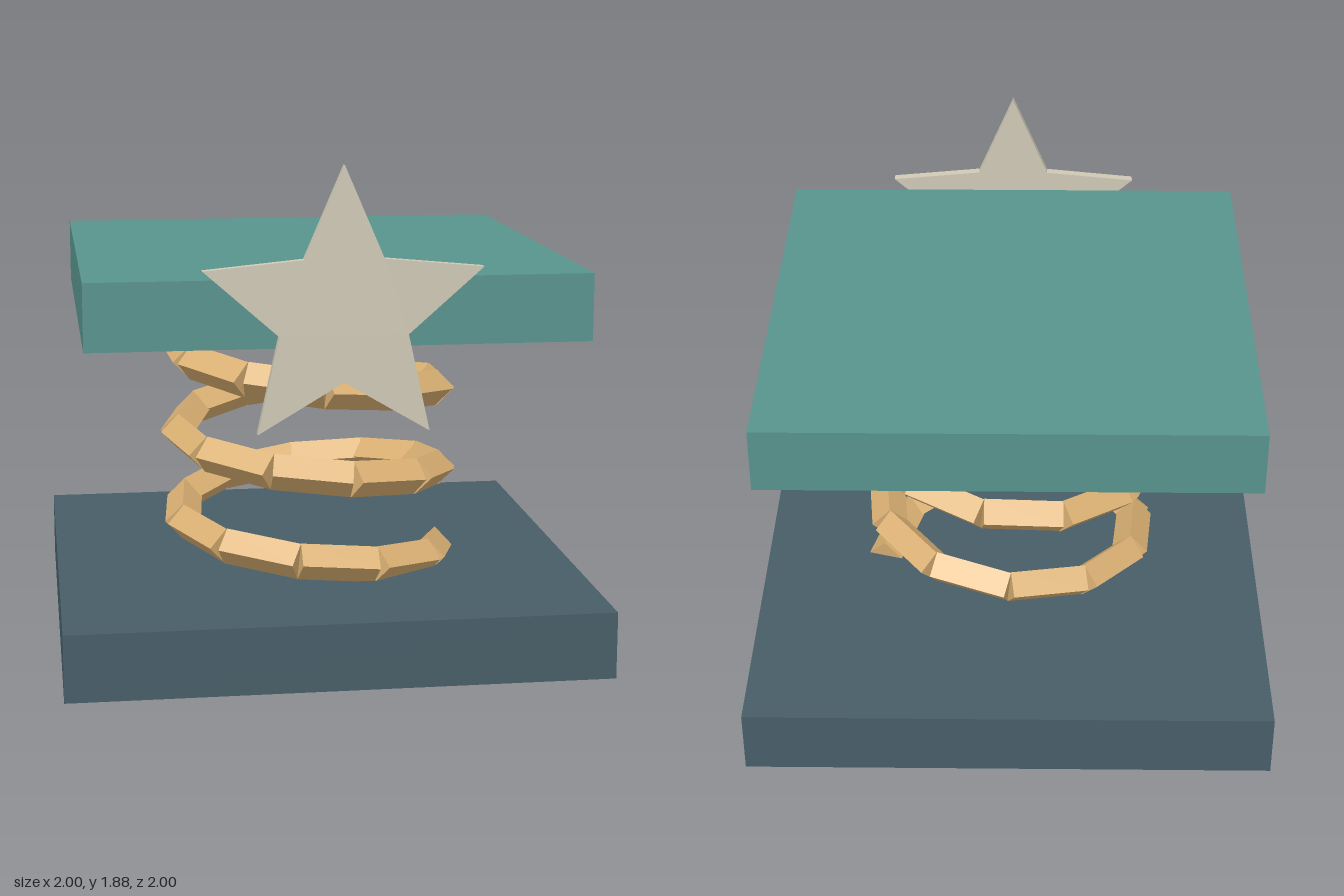
import * as THREE from 'three';

const mat = (name, color) => {
  const m = new THREE.MeshStandardMaterial({ color });
  m.name = name;
  return m;
};

export function createModel() {
  const model = new THREE.Group();
  const slate = mat('slate', 0x475d67);
  const teal = mat('teal', 0x58938d);
  const tan = mat('tan', 0xdab073);
  const cream = mat('cream', 0xcfc9b5);

  const add = (name, geometry, material, parent = model) => {
    const mesh = new THREE.Mesh(geometry, material);
    mesh.name = name;
    parent.add(mesh);
    return mesh;
  };

  // Square base and floating platform
  add('base', new THREE.BoxGeometry(2, 0.25, 2), slate).position.y = 0.125;
  add('platform', new THREE.BoxGeometry(1.81, 0.245, 1.81), teal).position.y = 1.357;

  // Coil spring: straight diamond-section bars along a helix of three turns
  const spring = new THREE.Group();
  spring.name = 'spring';
  model.add(spring);
  const segments = 32, turns = 3, radius = 0.518;
  const helix = (i) => {
    const t = i / segments, a = t * turns * Math.PI * 2;
    return new THREE.Vector3(radius * Math.cos(a), 0.25 + t, radius * Math.sin(a));
  };
  const length = helix(0).distanceTo(helix(1));
  // four flat-sided bar lying along z, with edges up, down, in and out
  const bar = new THREE.CylinderGeometry(0.07, 0.07, length, 4).rotateX(Math.PI / 2).toNonIndexed();
  bar.computeVertexNormals();
  for (let i = 0; i < segments; i++) {
    const from = helix(i), to = helix(i + 1);
    const coil = add('springBar', bar, tan, spring);
    coil.position.copy(from).lerp(to, 0.5);
    coil.lookAt(to);
  }

  // Five-pointed star plate in front of the platform
  const points = [];
  for (let i = 0; i < 10; i++) {
    const r = i % 2 ? 0.24 : 0.52, a = Math.PI / 2 + (i * Math.PI) / 5;
    points.push(new THREE.Vector2(r * Math.cos(a), r * Math.sin(a)));
  }
  const starGeometry = new THREE.ExtrudeGeometry(new THREE.Shape(points), { depth: 0.036, bevelEnabled: false });
  add('star', starGeometry, cream).position.set(0, 1.358, 0.921);

  return model;
}
